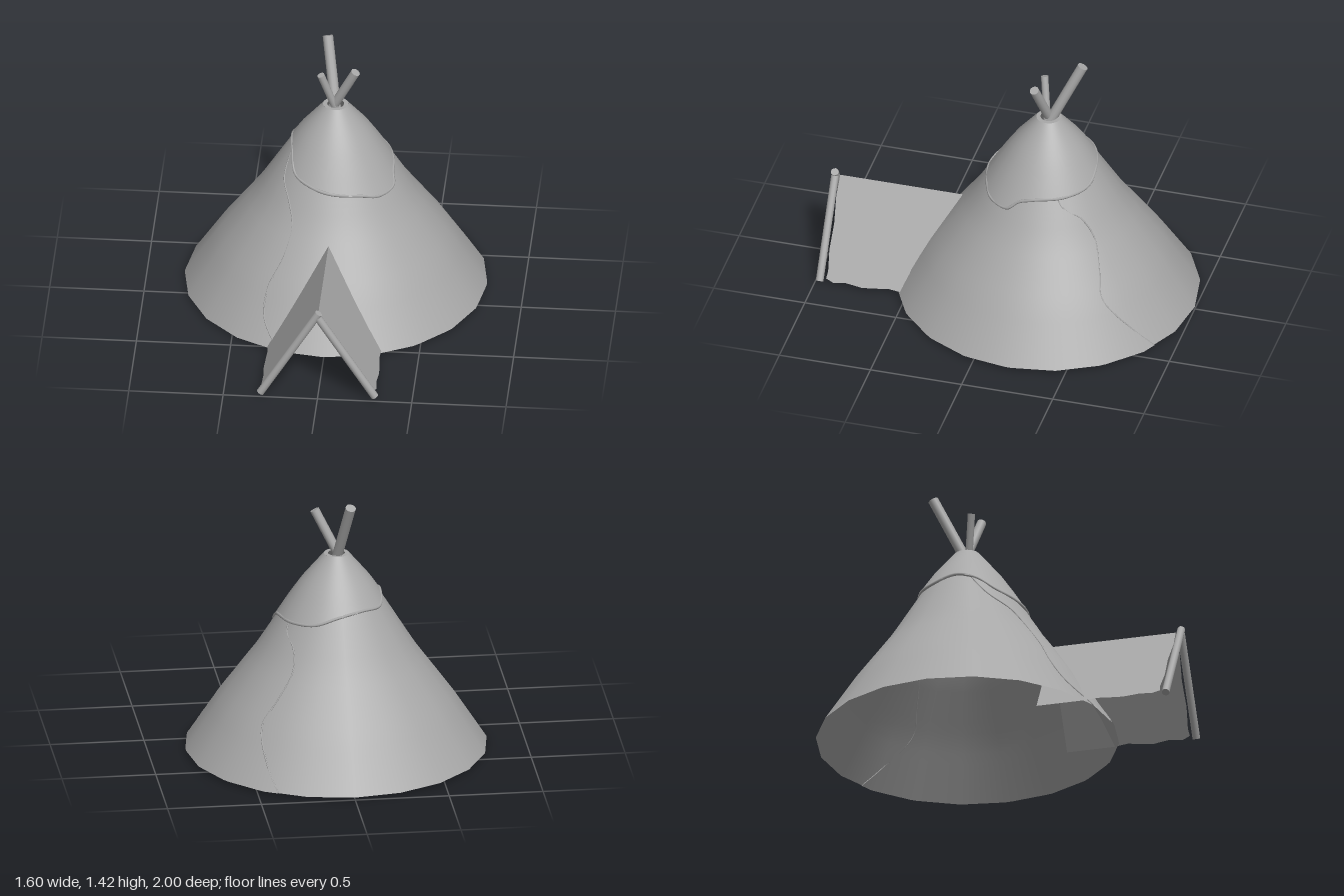
import * as THREE from 'three';

const CENTRE_Z = -0.2;
const SIDES = 20;
const DEG = Math.PI / 180;

// Linear lookup in a short list of [key, value] pairs
function lookup(table, k) {
  for (let i = 1; i < table.length; i++) {
    const [k0, v0] = table[i - 1], [k1, v1] = table[i];
    if (k <= k1 || i === table.length - 1) return v0 + (v1 - v0) * (k - k0) / (k1 - k0);
  }
}

// Cone radius by height
const PROFILE = [[0.02, 0.8], [0.29, 0.625], [0.57, 0.42], [0.845, 0.25], [0.96, 0.172], [1.1, 0.055]];
// Seam angles (degrees from the front) by height
const FRONT_SEAM = [[0.02, -18], [0.15, -27.6], [0.28, -30], [0.42, -27], [0.56, -28], [0.65, -36], [0.74, -54], [0.84, -66], [0.9, -72]];
const BACK_SEAM = [[0.02, 150], [0.13, 143], [0.3, 133], [0.42, 136], [0.56, 140], [0.66, 134], [0.73, 118], [0.9, 108]];
// Height of the cap's hem by angle
const CAP_HEM = [[0, 0.735], [28, 0.715], [45, 0.69], [66, 0.695], [75, 0.74], [90, 0.765], [120, 0.775], [150, 0.79],
  [175, 0.83], [205, 0.85], [235, 0.845], [270, 0.885], [296, 0.86], [318, 0.785], [340, 0.755], [360, 0.735]];

const radius = (y) => lookup(PROFILE, y);

// Point on the many-sided cone, pushed out by an offset
function conePoint(deg, y, offset) {
  const step = 2 * Math.PI / SIDES, a = deg * DEG;
  const local = ((a % step) + step) % step - step / 2;
  const r = radius(y) * Math.cos(step / 2) / Math.cos(local) + offset;
  return new THREE.Vector3(Math.sin(a) * r, y, Math.cos(a) * r + CENTRE_Z);
}

// Patch of cone; at(u, v) gives [angle, height]
function conePatch(cols, rows, offset, at) {
  const pos = [], nor = [], idx = [];
  for (let i = 0; i <= rows; i++) {
    for (let j = 0; j <= cols; j++) {
      const [deg, y] = at(j / cols, i / rows);
      pos.push(...conePoint(deg, y, offset).toArray());
      const slope = (radius(y - 0.06) - radius(y + 0.06)) / 0.12;
      const n = new THREE.Vector3(Math.sin(deg * DEG), slope, Math.cos(deg * DEG)).normalize();
      nor.push(n.x, n.y, n.z);
      if (i < rows && j < cols) {
        const a = i * (cols + 1) + j, b = a + cols + 1;
        idx.push(a, a + 1, b, a + 1, b + 1, b);
      }
    }
  }
  const g = new THREE.BufferGeometry();
  g.setAttribute('position', new THREE.Float32BufferAttribute(pos, 3));
  g.setAttribute('normal', new THREE.Float32BufferAttribute(nor, 3));
  g.setIndex(idx);
  return g;
}

export function createModel() {
  const group = new THREE.Group();
  const canvas = new THREE.MeshStandardMaterial({ color: 0xa8a8a8, side: THREE.DoubleSide });
  canvas.name = 'greyCanvas';

  const add = (name, geometry) => {
    const mesh = new THREE.Mesh(geometry, canvas);
    mesh.name = name;
    group.add(mesh);
    return mesh;
  };
  const pole = (name, from, to, r) => {
    const a = new THREE.Vector3(...from), b = new THREE.Vector3(...to);
    const mesh = add(name, new THREE.CylinderGeometry(r, r, a.distanceTo(b), 12));
    mesh.position.copy(a).lerp(b, 0.5);
    mesh.quaternion.setFromUnitVectors(new THREE.Vector3(0, 1, 0), b.sub(a).normalize());
  };
  const hem = (name, points, r, closed) =>
    add(name, new THREE.TubeGeometry(new THREE.CatmullRomCurve3(points, closed), 90, r, 6, closed));

  // Conical cover, open underneath
  add('cover', conePatch(SIDES, 24, 0, (u, v) => [u * 360, 0.02 + v * 1.07]));

  // Overlapping panel wrapped round one side
  add('overlapPanel', conePatch(60, 30, 0.005, (u, v) => {
    const y = 0.02 + v * 0.88, a = lookup(FRONT_SEAM, y), b = lookup(BACK_SEAM, y);
    return [a + (b - a) * u, y];
  }));
  [['frontSeam', FRONT_SEAM], ['backSeam', BACK_SEAM]].forEach(([name, seam]) => {
    hem(name, seam.map(([y, deg]) => conePoint(deg, y, 0.002)), 0.004, false);
  });

  // Cap with a wavy hem
  add('cap', conePatch(80, 12, 0.012, (u, v) => {
    const low = lookup(CAP_HEM, u * 360);
    return [u * 360, low + (1.1 - low) * v];
  }));
  hem('capHem', CAP_HEM.slice(0, -1).map(([deg, y]) => conePoint(deg, y, 0.007)), 0.009, true);
  const collar = add('capCollar', new THREE.RingGeometry(0.045, 0.067, SIDES));
  collar.rotation.x = -Math.PI / 2;
  collar.position.set(0, 1.1, CENTRE_Z);

  // Poles poking out of the top
  pole('backPole', [0.005, 1.04, -0.19], [-0.055, 1.415, -0.37], 0.028);
  pole('leftPole', [-0.03, 1.05, -0.205], [0.11, 1.33, -0.15], 0.025);
  pole('rightPole', [0.01, 1.05, -0.195], [-0.075, 1.3, -0.155], 0.02);

  // Entrance awning: x of the shape runs along z, y runs down the slope
  const panel = new THREE.Shape([
    [0.265, 0], [0.945, 0], [0.95, 0.2], [0.94, 0.45], [0.945, 0.7], [0.935, 0.9], [0.94, 0.97],
    [0.9, 1], [0.83, 0.985], [0.74, 1.005], [0.66, 0.99], [0.6, 0.975], [0.52, 0.99], [0.265, 0.99],
  ].map(([z, d]) => new THREE.Vector2(z, d)));
  for (const side of [1, -1]) {
    const g = new THREE.ShapeGeometry(panel);
    const p = g.attributes.position;
    for (let i = 0; i < p.count; i++) {
      const z = p.getX(i), d = p.getY(i);
      p.setXYZ(i, side * 0.305 * d, 0.505 - 0.483 * d, z);
    }
    // Keep each panel's front face outward
    if (side > 0) {
      const ix = g.index;
      for (let i = 0; i < ix.count; i += 3) {
        const t = ix.getX(i);
        ix.setX(i, ix.getX(i + 1));
        ix.setX(i + 1, t);
      }
    }
    g.computeVertexNormals();
    add(side > 0 ? 'awningLeft' : 'awningRight', g);
  }

  // Crossed poles framing the entrance
  pole('entrancePoleRight', [-0.305, 0.017, 0.974], [0.005, 0.522, 0.974], 0.021);
  pole('entrancePoleLeft', [0.303, 0.019, 0.974], [0.0, 0.495, 0.974], 0.021);

  return group;
}
